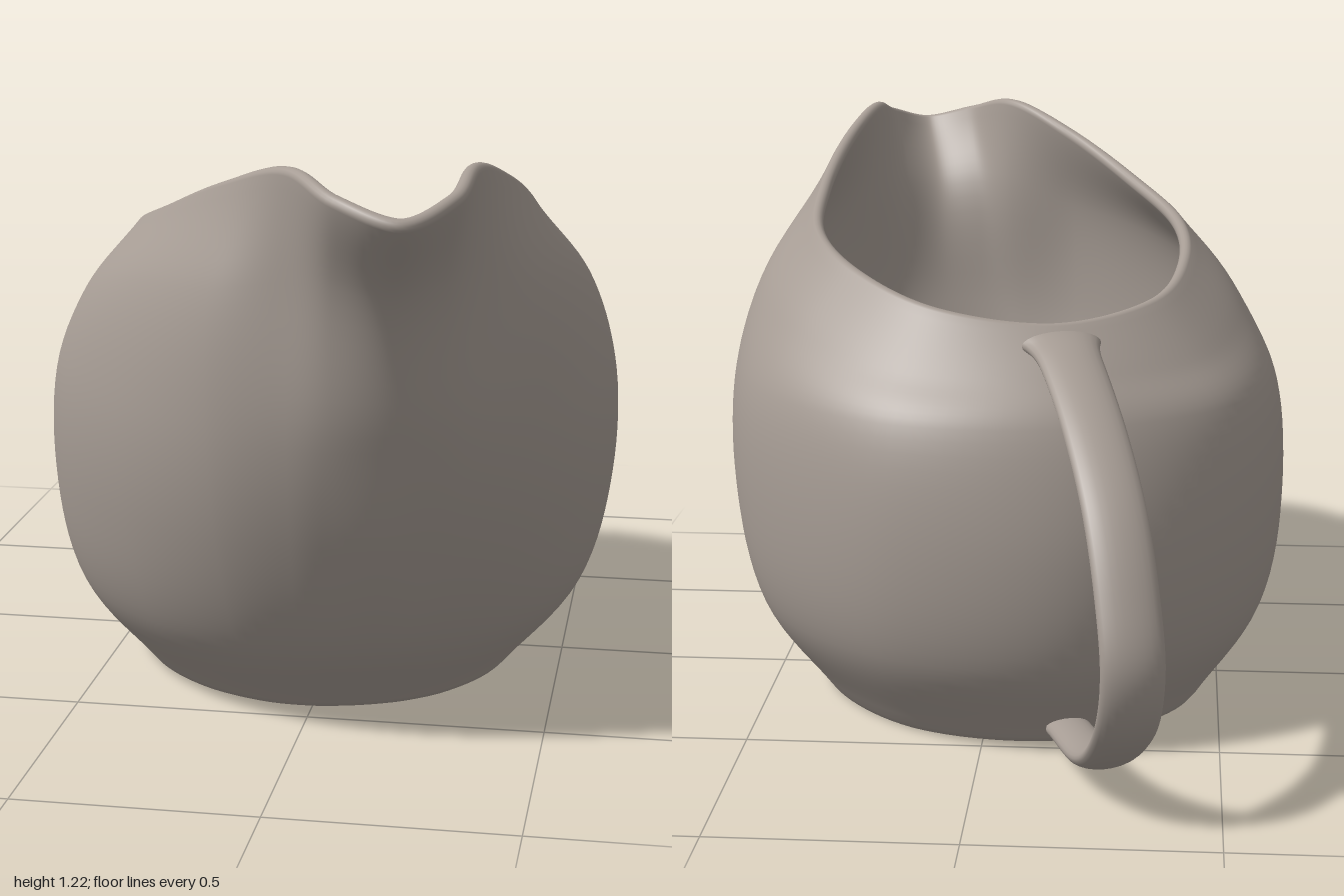
import * as THREE from 'three';

const WALL = 0.03;
const V = (x, y, z) => new THREE.Vector3(x, y, z);

// Half cross-sections, front to back: angle, radii at the four LEVELS,
// then shoulder radius and height, rim radius and height
const LEVELS = [0.015, 0.2, 0.45, 0.7];
const SECTIONS = [
  [0, 0.475, 0.65, 0.775, 0.845, 0.91, 0.98, 1.045, 1.135],
  [7, 0.475, 0.65, 0.77, 0.84, 0.88, 1.0, 0.975, 1.17],
  [13, 0.475, 0.645, 0.765, 0.825, 0.825, 1.0, 0.835, 1.205],
  [25, 0.47, 0.635, 0.745, 0.79, 0.77, 0.97, 0.685, 1.155],
  [45, 0.455, 0.61, 0.69, 0.705, 0.65, 0.94, 0.54, 1.075],
  [70, 0.44, 0.585, 0.645, 0.64, 0.575, 0.88, 0.455, 1.01],
  [100, 0.435, 0.565, 0.605, 0.58, 0.5, 0.83, 0.385, 0.955],
  [140, 0.45, 0.565, 0.595, 0.55, 0.475, 0.79, 0.375, 0.905],
  [180, 0.47, 0.58, 0.6, 0.535, 0.465, 0.79, 0.375, 0.88],
];

// Smooth surface through rows of points, each row a closed ring
function loft(rows) {
  const n = rows[0].length;
  const index = [];
  for (let i = 0; i < rows.length - 1; i++) {
    for (let j = 0; j < n; j++) {
      const k = (j + 1) % n;
      const a = i * n + j, b = i * n + k, c = a + n, d = b + n;
      index.push(a, b, c, b, d, c);
    }
  }
  const geometry = new THREE.BufferGeometry().setFromPoints(rows.flat());
  geometry.setIndex(index);
  geometry.computeVertexNormals();
  return geometry;
}

// Outer wall: closed ring curves joined by a vertical spline in each column
function outerRows(columns, steps) {
  const mirrored = SECTIONS.slice(1, -1).reverse().map(([a, ...rest]) => [-a, ...rest]);
  const all = [...SECTIONS, ...mirrored];
  const rings = [];
  for (let level = 0; level < 6; level++) {
    const points = all.map((s) => {
      const a = THREE.MathUtils.degToRad(s[0]);
      const r = level < 4 ? s[1 + level] : s[5 + 2 * (level - 4)];
      const y = level < 4 ? LEVELS[level] : s[6 + 2 * (level - 4)];
      return V(r * Math.sin(a), y, r * Math.cos(a));
    });
    rings.push(new THREE.CatmullRomCurve3(points, true).getPoints(columns).slice(0, columns));
  }
  const rows = Array.from({ length: steps + 1 }, () => []);
  for (let j = 0; j < columns; j++) {
    const curve = new THREE.CatmullRomCurve3(rings.map((ring) => ring[j]));
    rows.forEach((row, i) => row.push(curve.getPoint(i / steps)));
  }
  return rows;
}

// Tapered oval bar swept along its path in the plane of symmetry
function handleGeometry() {
  const path = new THREE.CatmullRomCurve3([
    [-0.415, 0.85], [-0.5, 0.826], [-0.69, 0.73], [-0.84, 0.61], [-0.935, 0.47], [-0.98, 0.34],
    [-0.95, 0.23], [-0.855, 0.135], [-0.71, 0.067], [-0.49, 0.043],
  ].map(([z, y]) => V(0, y, z)));
  const rows = [];
  for (let i = 0; i <= 64; i++) {
    const t = i / 64;
    const c = path.getPoint(t), d = path.getTangent(t);
    const flare = 0.02 * Math.exp(-t * 18);
    const halfWidth = 0.064 + flare - 0.016 * THREE.MathUtils.smoothstep(t, 0.65, 1);
    const halfDepth = 0.025 + flare * 0.3;
    const row = [];
    for (let j = 0; j < 24; j++) {
      const b = (j / 24) * Math.PI * 2;
      const depth = halfDepth * Math.cos(b);
      row.push(V(halfWidth * Math.sin(b), c.y - d.z * depth, c.z + d.y * depth));
    }
    rows.push(row);
  }
  return loft(rows);
}

export function createModel() {
  const group = new THREE.Group();
  group.name = 'creamJug';
  const clay = new THREE.MeshStandardMaterial({ color: 0xa69c94 });
  clay.name = 'warm grey clay';
  const add = (geometry, name) => {
    const mesh = new THREE.Mesh(geometry, clay);
    mesh.name = name;
    jug.add(mesh);
  };

  // The jug is turned so its spout points a little to the left
  const jug = new THREE.Group();
  jug.name = 'jug';
  jug.rotation.y = 0.294;
  jug.position.set(-0.04, 0, -0.02);
  group.add(jug);

  const columns = 160, steps = 40;
  const outer = outerRows(columns, steps);
  const normals = loft(outer).getAttribute('normal');
  const normalAt = (i, j) => new THREE.Vector3().fromBufferAttribute(normals, i * columns + j);

  // Foot ring under the wall
  const ringAt = (scale, y) => outer[0].map((p) => V(p.x * scale, y, p.z * scale));
  const foot = [ringAt(0.9, 0.02), ringAt(0.915, 0.006), ringAt(0.935, 0), ringAt(0.975, 0.002)];

  // Rounded lip
  const lip = [];
  for (let k = 1; k < 8; k++) {
    const phi = (k / 8) * Math.PI;
    lip.push(outer[steps].map((p, j) => {
      const n = normalAt(steps, j);
      const up = p.clone().sub(outer[steps - 1][j]).normalize();
      return p.clone()
        .addScaledVector(n, (WALL / 2) * (Math.cos(phi) - 1))
        .addScaledVector(up, (WALL / 2) * Math.sin(phi));
    }));
  }

  // Inner wall, offset from the outer one and ending at the floor
  const inner = [];
  for (let i = steps; i >= 1; i--) {
    inner.push(outer[i].map((p, j) => p.clone().addScaledVector(normalAt(i, j), -WALL)));
  }
  const floorRing = inner[inner.length - 1];
  floorRing.forEach((p) => { p.y = 0.04; });

  add(loft([...foot, ...outer, ...lip, ...inner]), 'body');

  // Flat discs closing the inside and the underside
  const centre = (y) => Array.from({ length: columns }, () => V(0, y, 0));
  add(loft([floorRing, centre(0.04)]), 'insideFloor');
  add(loft([centre(0.02), foot[0]]), 'underside');

  add(handleGeometry(), 'handle');
  return group;
}
